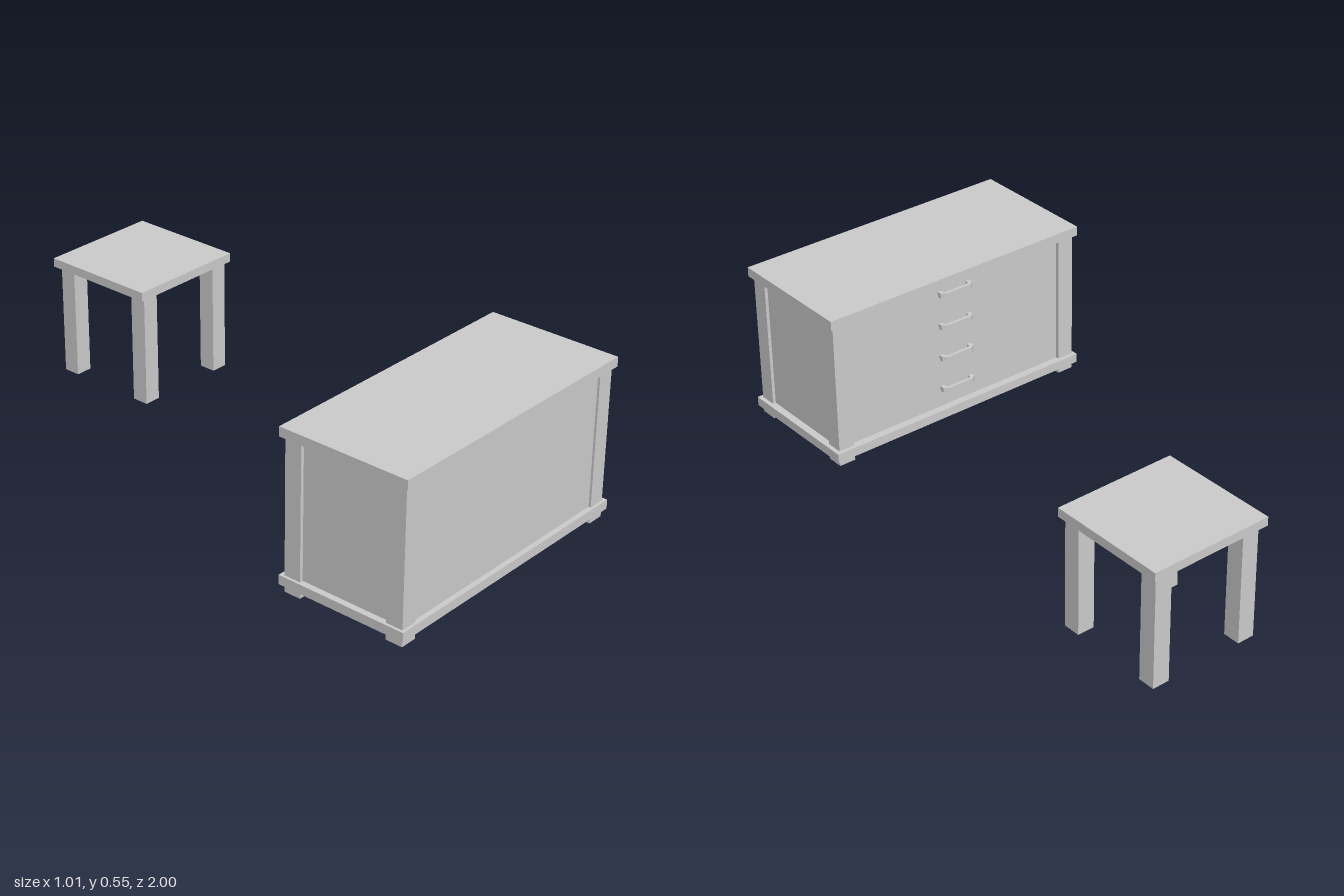
import * as THREE from 'three';

const material = new THREE.MeshStandardMaterial({ color: 0xcccccc });

// Box given by its minimum and maximum corners
function box(parent, name, [x0, y0, z0], [x1, y1, z1]) {
  const mesh = new THREE.Mesh(new THREE.BoxGeometry(x1 - x0, y1 - y0, z1 - z0), material);
  mesh.position.set((x0 + x1) / 2, (y0 + y1) / 2, (z0 + z1) / 2);
  mesh.name = name;
  parent.add(mesh);
}

// Upright hollow square tube, open at both ends
function squareTube(parent, name, x, z, size, wall, height) {
  const square = (Path, h) => new Path([[-h, -h], [h, -h], [h, h], [-h, h]].map(p => new THREE.Vector2(...p)));
  const shape = square(THREE.Shape, size / 2);
  shape.holes.push(square(THREE.Path, size / 2 - wall));
  const geometry = new THREE.ExtrudeGeometry(shape, { depth: height, bevelEnabled: false });
  geometry.rotateX(-Math.PI / 2);
  const mesh = new THREE.Mesh(geometry, material);
  mesh.position.set(x, 0, z);
  mesh.name = name;
  parent.add(mesh);
}

// Bridge-shaped pull, sticking out towards -z from the panel
function handle(parent, y, zPanel) {
  const shape = new THREE.Shape([
    [-0.065, 0], [-0.065, 0.016], [-0.05, 0.027], [0.05, 0.027], [0.065, 0.016], [0.065, 0],
    [0.05, 0], [0.05, 0.012], [0.042, 0.016], [-0.042, 0.016], [-0.05, 0.012], [-0.05, 0],
  ].map(p => new THREE.Vector2(...p)));
  const geometry = new THREE.ExtrudeGeometry(shape, { depth: 0.018, bevelEnabled: false });
  geometry.translate(0, 0, -0.009).rotateX(-Math.PI / 2);
  const mesh = new THREE.Mesh(geometry, material);
  mesh.position.set(0, y, zPanel);
  mesh.name = 'drawerHandle';
  parent.add(mesh);
}

function createChest() {
  const chest = new THREE.Group();
  chest.name = 'chest';
  box(chest, 'chestTop', [-0.507, 0.521, 0.53], [0.506, 0.554, 1]);
  box(chest, 'chestBase', [-0.507, 0.025, 0.53], [0.506, 0.057, 1]);
  // Body set slightly back from the corner posts
  box(chest, 'chestBody', [-0.485, 0.057, 0.557], [0.48, 0.521, 0.982]);
  for (const x of [-0.467, 0.461]) {
    for (const z of [0.575, 0.96]) {
      box(chest, 'cornerPost', [x - 0.03, 0.057, z - 0.03], [x + 0.03, 0.521, z + 0.03]);
      squareTube(chest, 'chestFoot', x, z, 0.06, 0.014, 0.025);
    }
  }
  // Drawer pulls on the side that faces the stool
  for (let i = 0; i < 4; i++) handle(chest, 0.125 + i * 0.12, 0.557);
  return chest;
}

function createStool() {
  const stool = new THREE.Group();
  stool.name = 'stool';
  box(stool, 'stoolSeat', [0.068, 0.394, -1], [0.5, 0.425, -0.58]);
  for (const x of [0.117, 0.451])
    for (const z of [-0.62, -0.952]) squareTube(stool, 'stoolLeg', x, z, 0.06, 0.006, 0.394);
  return stool;
}

export function createModel() {
  const model = new THREE.Group();
  model.name = 'chestAndStool';
  model.add(createChest(), createStool());
  return model;
}
